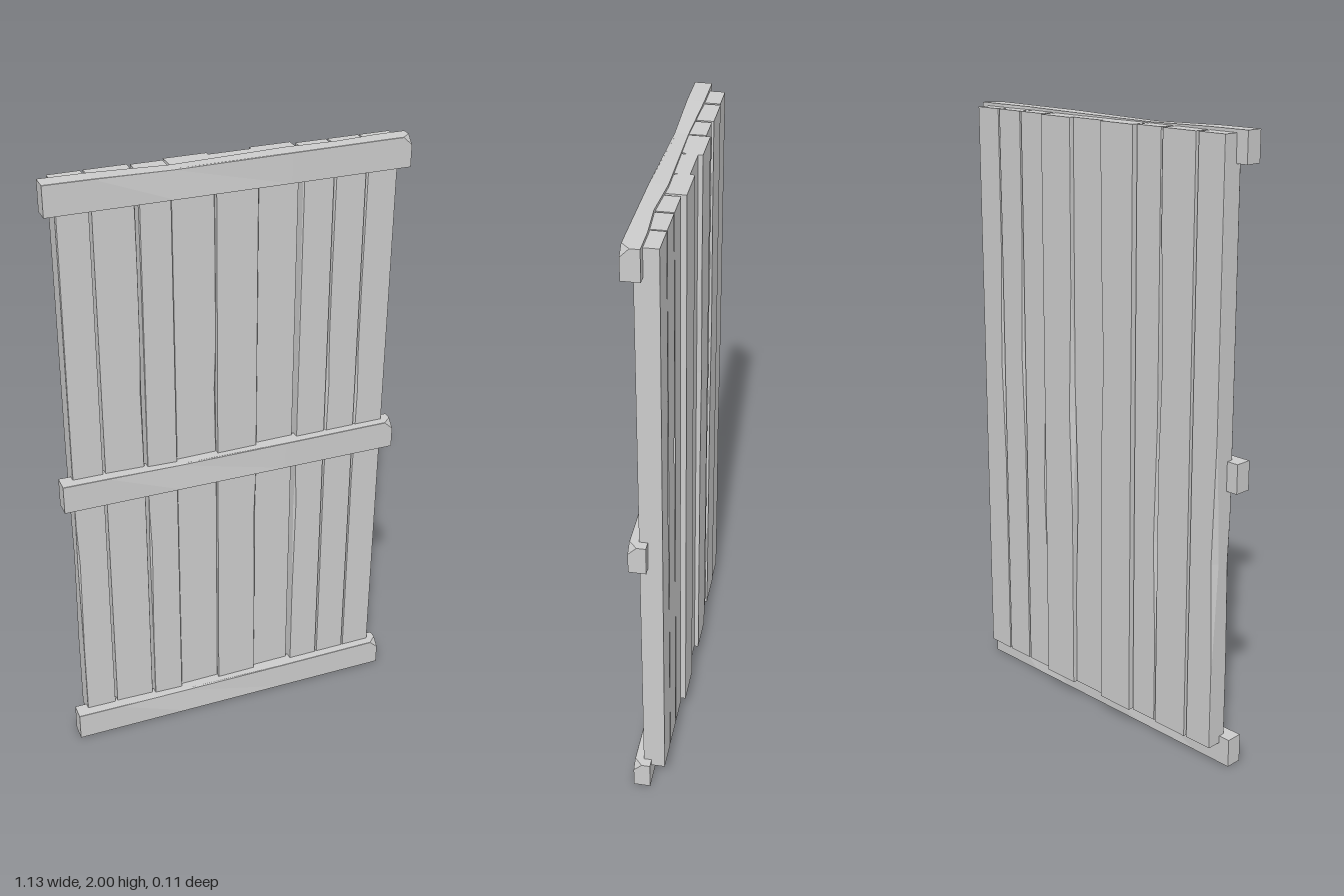
import * as THREE from 'three';

const material = new THREE.MeshStandardMaterial({ color: 0xcccccc, flatShading: true });

// Skin a list of equal-length loops, counter-clockwise about the run direction, with both ends capped
function loft(rings) {
  const pos = [];
  const tri = (a, b, c) => pos.push(...a, ...b, ...c);
  const n = rings[0].length;
  for (let r = 0; r < rings.length - 1; r++) {
    const a = rings[r], b = rings[r + 1];
    for (let i = 0; i < n; i++) {
      const j = (i + 1) % n;
      tri(a[i], a[j], b[j]);
      tri(a[i], b[j], b[i]);
    }
  }
  const first = rings[0], last = rings[rings.length - 1];
  for (let i = 1; i < n - 1; i++) {
    tri(first[0], first[i + 1], first[i]);
    tri(last[0], last[i], last[i + 1]);
  }
  const g = new THREE.BufferGeometry();
  g.setAttribute('position', new THREE.Float32BufferAttribute(pos, 3));
  g.computeVertexNormals();
  return g;
}

// Upright plank with a worn back edge and a clipped front corner on one side
function plankGeometry(x0, x1, back, side, wearY) {
  const front = back + 0.07;
  // height, back edge wear, front corner wear
  const stations = [
    [0.07, 0.001, 0.001],
    [wearY - 0.4, 0.001, 0.001],
    [wearY - 0.05, 0.012, 0.006],
    [wearY + 0.1, 0.008, 0.001],
    [wearY + 0.35, 0.001, 0.001],
    [1.9, 0.001, 0.003],
    [1.99, 0.001, 0.016],
  ];
  const worn = side < 0 ? x0 : x1, plain = side < 0 ? x1 : x0;
  return loft(stations.map(([y, b, f]) => {
    const ring = [
      [worn - side * f, y, front],
      [plain, y, front],
      [plain, y, back],
      [worn - side * b, y, back],
      [worn, y, back + b * 1.8],
      [worn, y, front - f * 1.4],
    ];
    return side < 0 ? ring : ring.reverse();
  }));
}

// Crossbar with slightly uneven edges and one chipped end corner
function railGeometry() {
  const h = 0.095, d = 0.055;
  // x, top dip, front dip, back dip, corner chip
  const stations = [
    [-0.565, 0, 0, 0, 0.001],
    [-0.42, 0.001, 0, 0, 0.001],
    [-0.18, 0.007, 0.012, 0.007, 0.001],
    [0.18, 0.002, 0, 0, 0.001],
    [0.34, 0.001, 0, 0.009, 0.001],
    [0.47, 0, 0, 0, 0.001],
    [0.537, 0, 0, 0, 0.001],
    [0.565, 0, 0, 0, 0.027],
  ];
  return loft(stations.map(([x, top, front, back, chip]) => [
    [x, 0, 0],
    [x, h - top, back],
    [x, h - top, d - front - chip],
    [x, h - top - chip, d - front * 0.5],
    [x, 0, d],
  ]));
}

export function createModel() {
  const model = new THREE.Group();
  model.name = 'plankPanel';

  // Planks: left edge, right edge, back depth, worn side, wear height
  const planks = [
    [-0.525, -0.427, -0.048, -1, 0.75],
    [-0.418, -0.29, -0.05, 1, 1.35],
    [-0.281, -0.184, -0.045, -1, 0.75],
    [-0.178, -0.045, -0.058, 1, 1.3],
    [-0.045, 0.088, -0.044, 1, 0.8],
    [0.088, 0.218, -0.058, -1, 1.1],
    [0.229, 0.327, -0.044, -1, 0.8],
    [0.333, 0.432, -0.044, -1, 1.25],
    [0.437, 0.535, -0.044, -1, 1.2],
  ];
  const boards = new THREE.Group();
  boards.name = 'planks';
  planks.forEach((p, i) => {
    const mesh = new THREE.Mesh(plankGeometry(...p), material);
    mesh.name = `plank${i + 1}`;
    boards.add(mesh);
  });
  model.add(boards);

  // Three crossbars over the front
  const rail = railGeometry();
  for (const [name, y] of [['bottomRail', 0], ['middleRail', 0.93], ['topRail', 1.905]]) {
    const mesh = new THREE.Mesh(rail, material);
    mesh.name = name;
    mesh.position.y = y;
    model.add(mesh);
  }
  return model;
}
